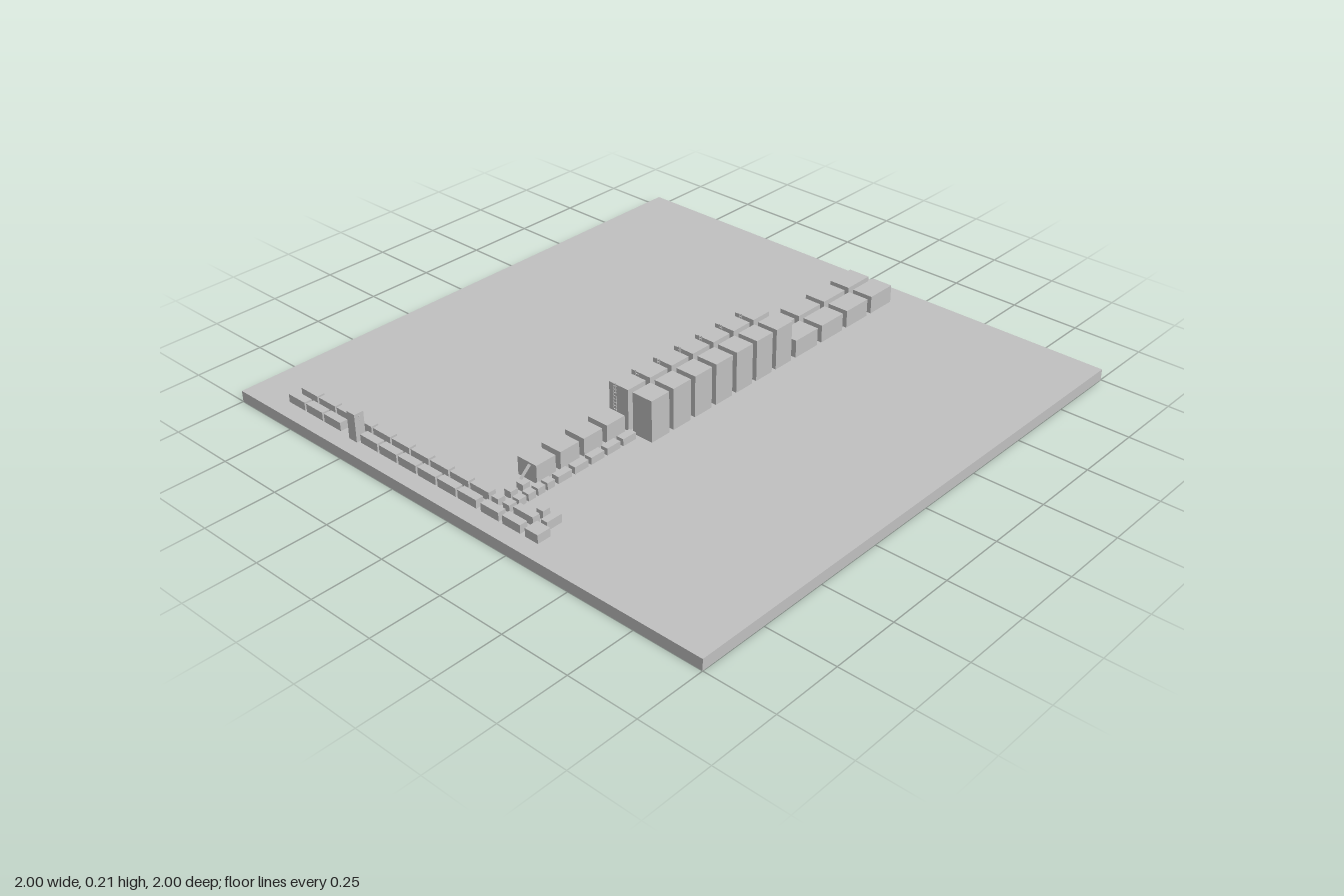
import * as THREE from 'three';

export function createModel() {
  const model = new THREE.Group();
  const grey = new THREE.MeshStandardMaterial({ color: 0xc0c0c0 });
  grey.name = 'plain grey';
  const G = 0.04; // ground level

  // box from its limits on each axis
  function box(parent, name, x0, x1, y0, y1, z0, z1) {
    const m = new THREE.Mesh(new THREE.BoxGeometry(x1 - x0, y1 - y0, z1 - z0), grey);
    m.position.set((x0 + x1) / 2, (y0 + y1) / 2, (z0 + z1) / 2);
    m.name = name;
    parent.add(m);
    return m;
  }
  function group(name) {
    const g = new THREE.Group();
    g.name = name;
    model.add(g);
    return g;
  }

  box(model, 'groundSlab', -1, 1, 0, G, -1, 1);

  // Long double row: low back blocks, tall middle blocks, low front blocks
  const columns = [[0.017, 0.098], [0.118, 0.198]];
  const back = group('backBlocks');
  for (let i = 0; i < 4; i++) {
    const z = -0.91 + i * 0.139;
    for (const [a, b] of columns) box(back, 'backBlock', a, b, G, 0.105, z, z + 0.116);
  }
  const tall = group('tallBlocks');
  const ladders = group('ladders');
  for (let i = 0; i < 7; i++) {
    const z = -0.352 + i * 0.1005;
    for (const [a, b] of columns) box(tall, 'tallBlock', a, b, G, 0.19, z, z + 0.08);
    // ladder on the front face of each left block
    for (const x of [0.037, 0.047]) box(ladders, 'ladderRail', x, x + 0.002, G, 0.196, z + 0.082, z + 0.084);
    for (let r = 0; r < 12; r++) {
      const y = 0.05 + r * 0.012;
      box(ladders, 'ladderRung', 0.037, 0.049, y, y + 0.002, z + 0.08, z + 0.084);
    }
  }
  box(tall, 'roofMast', 0.055, 0.058, 0.19, 0.207, 0.046, 0.049);
  const front = group('frontBlocks');
  for (let i = 0; i < 4; i++) {
    const z = 0.347 + i * 0.1005;
    box(front, 'frontBlock', 0.017, 0.098, G, 0.105, z, z + 0.08);
  }

  // Inclined ladder at the end of the front blocks
  const ramp = box(ladders, 'inclinedLadder', -0.005, 0.005, -0.0015, 0.0015, -0.026, 0.026);
  ramp.position.set(0.077, 0.088, 0.755);
  ramp.rotation.x = 0.72;

  // Small blocks leading to the cross street
  const small = group('smallBlocks');
  for (let i = 0; i < 5; i++) {
    const z = 0.348 + i * 0.07;
    box(small, 'smallBlock', 0.118, 0.146, G, 0.065, z, z + 0.057);
  }
  for (let i = 0; i < 5; i++) {
    const z = 0.7 + i * 0.039;
    box(small, 'smallCube', 0.118, 0.146, G, 0.065, z, z + 0.03);
  }
  for (const z of [0.757, 0.806, 0.857]) box(small, 'smallCube', 0.07, 0.098, G, 0.065, z, z + 0.029);

  // Cross street: two rows of low blocks
  const street = group('streetBlocks');
  for (let i = 0; i < 10; i++) {
    const x = -0.83 + i * 0.0897;
    box(street, 'rearStreetBlock', x, x + 0.081, G, 0.07, 0.858, 0.886);
    if (i !== 3) box(street, 'frontStreetBlock', x, x + 0.081, G, 0.07, 0.908, 0.937);
  }
  box(street, 'rearStreetBlock', 0.163, 0.245, G, 0.07, 0.858, 0.886);
  box(street, 'frontStreetBlock', 0.078, 0.154, G, 0.07, 0.908, 0.937);
  box(street, 'frontStreetBlock', 0.17, 0.245, G, 0.07, 0.908, 0.937);
  box(street, 'cornerBlock', 0.265, 0.318, G, 0.07, 0.887, 0.937);
  box(street, 'sideBlock', 0.267, 0.293, G, 0.07, 0.816, 0.875);
  box(street, 'sideCube', 0.218, 0.245, G, 0.07, 0.816, 0.845);

  // Tower with side brackets
  const tower = group('tower');
  box(tower, 'towerBody', -0.518, -0.481, G, 0.14, 0.909, 0.945);
  for (const y of [0.113, 0.128]) box(tower, 'towerBracket', -0.523, -0.477, y, y + 0.002, 0.925, 0.929);

  // Tiny objects lying along the street
  const props = group('streetProps');
  for (const [x, z] of [[-0.245, 0.897], [-0.2, 0.893], [-0.175, 0.9], [-0.155, 0.895], [-0.08, 0.9], [0.105, 0.9]])
    box(props, 'streetProp', x, x + 0.008, G, 0.048, z, z + 0.005);

  return model;
}
